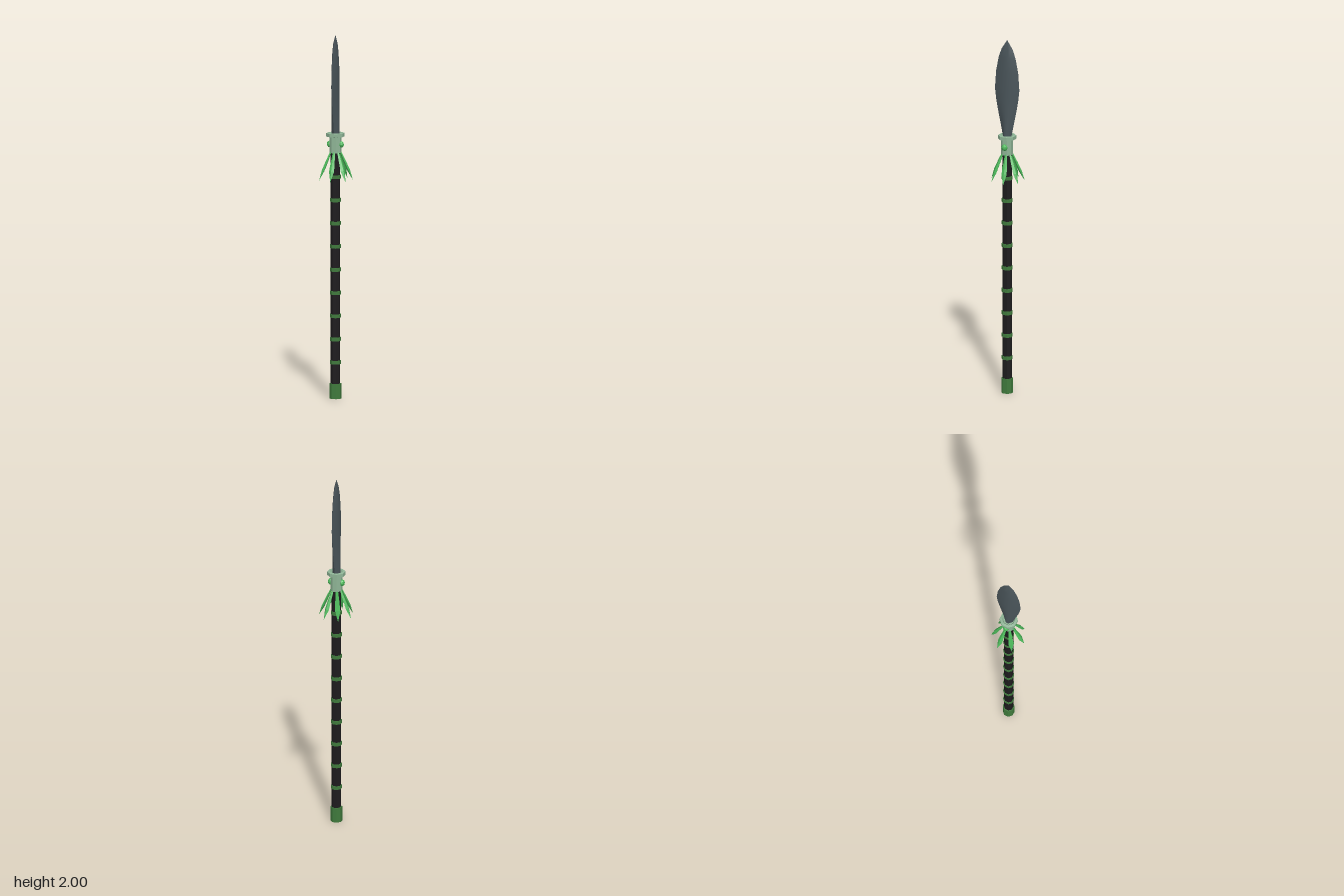
import * as THREE from 'three';
import { toCreasedNormals } from 'three/addons/utils/BufferGeometryUtils.js';

const SIDES = 8;
const AXIS_Z = -0.005;

const paint = (color, flat = true) => new THREE.MeshStandardMaterial({ color, flatShading: flat });

function add(parent, name, geometry, material) {
  const mesh = new THREE.Mesh(geometry, material);
  mesh.name = name;
  parent.add(mesh);
  return mesh;
}

// Skins a unit cross-section along y; each station is [y, half x, half z].
function loft(section, stations) {
  const n = section.length;
  const pos = [];
  const index = [];
  for (const [y, sx, sz] of stations) {
    for (const [x, z] of section) pos.push(x * sx, y, z * sz);
  }
  for (let i = 0; i < stations.length - 1; i++) {
    for (let j = 0; j < n; j++) {
      const a = i * n + j;
      const b = i * n + (j + 1) % n;
      index.push(a, b, b + n, a, b + n, a + n);
    }
  }
  // bottom cap
  for (let j = 1; j < n - 1; j++) index.push(0, j + 1, j);
  const g = new THREE.BufferGeometry();
  g.setAttribute('position', new THREE.Float32BufferAttribute(pos, 3));
  g.setIndex(index);
  g.computeVertexNormals();
  return g;
}

// Octagonal turned part with flat faces toward the front and sides.
function turned(points) {
  const g = new THREE.LatheGeometry(points.map(([r, y]) => new THREE.Vector2(r, y)), SIDES);
  return g.rotateY(Math.PI / SIDES);
}

const rod = (r, y0, y1) => turned([[0, y0], [r, y0], [r, y1], [0, y1]]);

export function createModel() {
  const spear = new THREE.Group();
  spear.name = 'spear';
  spear.position.z = AXIS_Z;

  const black = paint(0x1d1b1d);
  const darkGreen = paint(0x3f7a3c);
  const paleGreen = paint(0x8fb596);
  const leafGreen = paint(0x4cb85a);
  const steel = paint(0x4a555a, false);

  // Shaft, butt cap and evenly spaced bands
  add(spear, 'shaft', rod(0.026, 0.04, 1.38), black);
  add(spear, 'buttCap', rod(0.032, 0, 0.083), darkGreen);
  for (let i = 0; i < 9; i++) {
    const y = 0.2 + i * 0.1275;
    add(spear, 'shaftBand', rod(0.03, y - 0.01, y + 0.01), darkGreen);
  }

  // Collar with a flared rim
  add(spear, 'collar', turned([
    [0.024, 1.352], [0.033, 1.352], [0.033, 1.438], [0.05, 1.441],
    [0.05, 1.46], [0.036, 1.462], [0.03, 1.452], [0, 1.452],
  ]), paleGreen);

  // Round studs on both sides of the collar
  for (const side of [-1, 1]) {
    const stud = add(spear, 'collarStud', new THREE.SphereGeometry(0.018, 8, 6), leafGreen);
    stud.scale.x = 0.85;
    stud.position.set(side * 0.033, 1.398, 0);
  }

  // Seven pointed leaves hanging outward below the collar
  const leafGeometry = loft(
    [[1, 0], [0, -1], [-1, 0], [0, 1]],
    [[0, 0.006, 0.004], [0.06, 0.011, 0.007], [0.115, 0.0145, 0.008], [0.175, 0, 0]],
  );
  for (let i = 0; i < 7; i++) {
    const arm = new THREE.Group();
    arm.name = 'leafArm';
    arm.rotation.y = (i * Math.PI * 2) / 7;
    spear.add(arm);
    const leaf = add(arm, 'leaf', leafGeometry, leafGreen);
    leaf.position.set(0, 1.362, 0.025);
    leaf.rotation.x = 2.724;
  }

  // Leaf-shaped blade with a lens cross-section, broad along z
  const lens = [
    [1, 0], [0.9, -0.28], [0.5, -0.65], [0, -1], [-0.5, -0.65], [-0.9, -0.28],
    [-1, 0], [-0.9, 0.28], [-0.5, 0.65], [0, 1], [0.5, 0.65], [0.9, 0.28],
  ];
  const blade = loft(lens, [
    [1.445, 0.022, 0.024], [1.52, 0.022, 0.039], [1.6, 0.02, 0.056], [1.66, 0.019, 0.067],
    [1.72, 0.018, 0.074], [1.82, 0.017, 0.067], [1.9, 0.015, 0.051], [1.95, 0.011, 0.033],
    [2, 0, 0],
  ]);
  add(spear, 'blade', toCreasedNormals(blade, 0.9), steel);

  const model = new THREE.Group();
  model.name = 'model';
  model.add(spear);
  return model;
}
